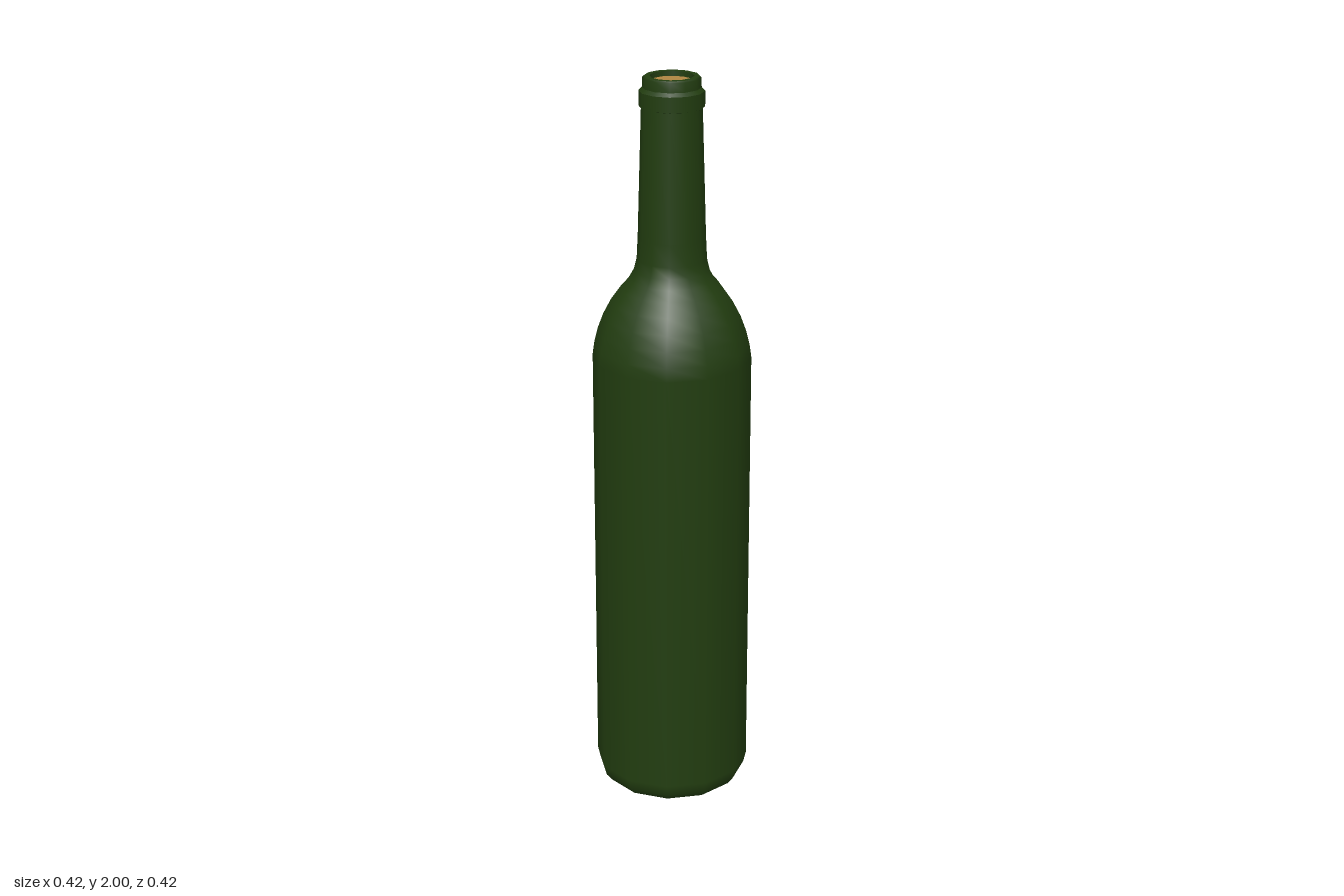
import * as THREE from 'three';

const SIDES = 12;

// Turns a [radius, height] profile; a point given twice makes a sharp edge.
function turned(name, profile, color) {
  const points = profile.map(([r, y]) => new THREE.Vector2(r, y));
  const mesh = new THREE.Mesh(
    new THREE.LatheGeometry(points, SIDES),
    new THREE.MeshStandardMaterial({ color })
  );
  mesh.name = name;
  return mesh;
}

export function createModel() {
  const group = new THREE.Group();
  group.name = 'bottle';

  // Glass, from the hollow under the base up and over the lip
  group.add(turned('glass', [
    // hollow under the base
    [0, 0.1], [0.03, 0.094], [0.055, 0.075], [0.075, 0.04], [0.105, 0.012], [0.14, 0],
    // rounded foot and straight body
    [0.165, 0.001], [0.188, 0.01], [0.204, 0.03], [0.211, 0.06], [0.211, 1.25],
    // shoulder
    [0.206, 1.285], [0.196, 1.325], [0.181, 1.365], [0.16, 1.405], [0.135, 1.44],
    [0.113, 1.465], [0.099, 1.49], [0.092, 1.52],
    // neck
    [0.089, 1.58], [0.079, 1.92], [0.079, 1.92],
    // collar
    [0.085, 1.922], [0.085, 1.922], [0.085, 1.962], [0.085, 1.962], [0.076, 1.971], [0.076, 1.971],
    // lip and inside of the mouth
    [0.075, 1.996], [0.071, 2], [0.071, 2], [0.057, 2], [0.057, 2], [0.055, 1.95],
  ], 0x223d10));

  // Cork, set just below the lip
  group.add(turned('cork', [
    [0, 1.8], [0.055, 1.8], [0.055, 1.8], [0.0555, 1.987], [0.0555, 1.987], [0, 1.987],
  ], 0xb08642));

  return group;
}
